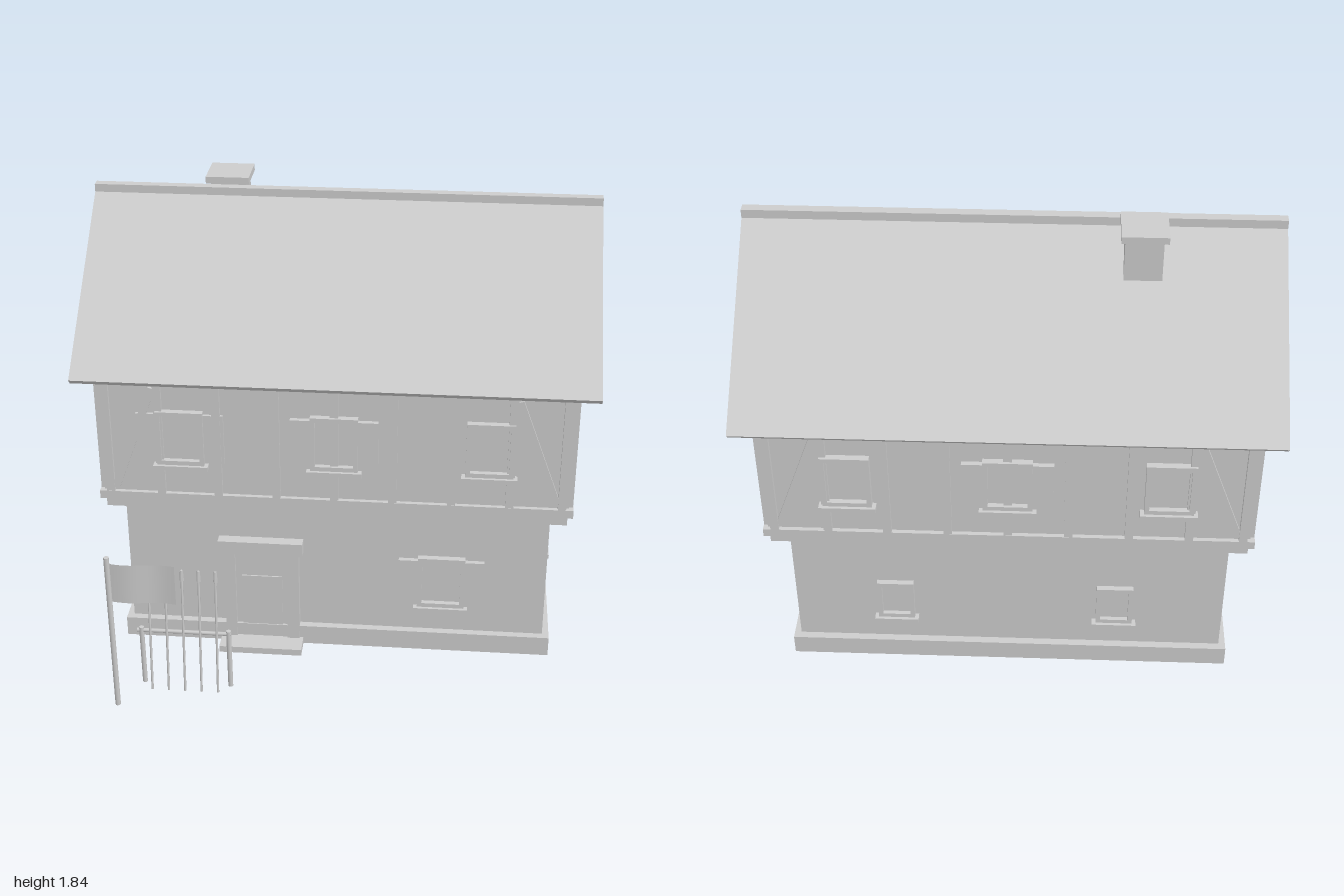
import * as THREE from 'three';

const CZ = -0.17; // depth centre of the house

export function createModel() {
  const model = new THREE.Group();
  model.name = 'timberHouse';
  const grey = new THREE.MeshStandardMaterial({ color: 0xcccccc });
  grey.name = 'plainGrey';
  grey.side = THREE.DoubleSide;

  const add = (parent, name, geometry) => {
    const mesh = new THREE.Mesh(geometry, grey);
    mesh.name = name;
    parent.add(mesh);
    return mesh;
  };
  // box from minimum and maximum on each axis
  const box = (parent, name, x0, x1, y0, y1, z0, z1) => {
    const m = add(parent, name, new THREE.BoxGeometry(x1 - x0, y1 - y0, z1 - z0));
    m.position.set((x0 + x1) / 2, (y0 + y1) / 2, (z0 + z1) / 2);
    return m;
  };
  // storey block centred on the house
  const slab = (name, hx, y0, y1, hz) => box(model, name, -hx, hx, y0, y1, CZ - hz, CZ + hz);
  // round bar between two points
  const bar = (parent, name, a, b, r0, r1 = r0, sides = 8) => {
    const p = new THREE.Vector3(...a), q = new THREE.Vector3(...b), d = q.clone().sub(p);
    const m = add(parent, name, new THREE.CylinderGeometry(r1, r0, d.length(), sides));
    m.position.copy(p).add(q).multiplyScalar(0.5);
    m.quaternion.setFromUnitVectors(new THREE.Vector3(0, 1, 0), d.normalize());
    return m;
  };
  // outline in (z, y) extruded along x
  const extrudeX = (name, points, length) => {
    const shape = new THREE.Shape(points.map(([z, y]) => new THREE.Vector2(z, y)));
    const g = new THREE.ExtrudeGeometry(shape, { depth: length, bevelEnabled: false });
    g.translate(0, 0, -length / 2);
    g.rotateY(-Math.PI / 2);
    return add(model, name, g);
  };
  // face of the house: local x runs along the wall, local z = 0 is its surface
  const facade = (name, x, z, angle) => {
    const g = new THREE.Group();
    g.name = name;
    g.position.set(x, 0, z);
    g.rotation.y = angle;
    model.add(g);
    return g;
  };

  // window with frame, pane, sill and optional shutters
  const windowUnit = (wall, x, y0, y1, w, out, shutters, shutterOut = out * 0.75) => {
    const g = new THREE.Group();
    g.name = 'window';
    g.position.x = x;
    wall.add(g);
    const h = w / 2, t = 0.018;
    for (const s of [-1, 1]) {
      const a = s * h, b = s * (h - t);
      box(g, 'windowJamb', Math.min(a, b), Math.max(a, b), y0, y1, -0.01, out);
      if (shutters) {
        const c = s * (h + 0.078);
        box(g, 'shutter', Math.min(a, c), Math.max(a, c), y0 + 0.005, y1 - 0.015, -0.005, shutterOut);
      }
    }
    box(g, 'windowHead', -h + t, h - t, y1 - t, y1, -0.01, out);
    box(g, 'windowFoot', -h + t, h - t, y0, y0 + t, -0.01, out);
    box(g, 'windowPane', -h + t, h - t, y0 + t, y1 - t, -0.005, 0.005);
    box(g, 'windowSill', -h - 0.015, h + 0.015, y0 - 0.018, y0, -0.01, out + 0.012);
  };

  // Masonry storey, jetty beams and timber storey
  slab('plinth', 0.877, 0, 0.085, 0.52);
  slab('groundFloorWall', 0.85, 0.085, 0.65, 0.49);
  slab('jettyBeam', 0.912, 0.65, 0.69, 0.551);
  slab('floorBeam', 0.932, 0.695, 0.73, 0.573);
  slab('floorInfill', 0.9, 0.685, 0.7, 0.54);
  slab('upperWall', 0.915, 0.73, 1.205, 0.556);
  slab('topPlate', 0.932, 1.202, 1.237, 0.573);

  // Timber framing on all four upper faces
  const framing = (wall, posts, edge, second) => {
    for (const x of posts) box(wall, 'timberPost', x - 0.016, x + 0.016, 0.73, 1.203, -0.01, 0.016);
    for (const s of [-1, 1]) {
      const x0 = s * (edge - 0.02), x1 = s * (second + 0.02), y0 = 0.745, y1 = 1.19;
      const len = Math.hypot(x1 - x0, y1 - y0);
      const brace = add(wall, 'diagonalBrace', new THREE.BoxGeometry(0.03, len, 0.022));
      brace.position.set((x0 + x1) / 2, (y0 + y1) / 2, 0.002);
      brace.rotation.z = -Math.atan2(x1 - x0, y1 - y0);
    }
  };
  const longPosts = [-0.887, -0.683, -0.457, -0.228, 0, 0.228, 0.457, 0.683, 0.887];
  const sidePosts = [-0.53, -0.33, -0.11, 0.11, 0.33, 0.53];
  for (const s of [1, -1]) {
    const long = facade(s > 0 ? 'upperFront' : 'upperBack', 0, CZ + s * 0.556, s > 0 ? 0 : Math.PI);
    framing(long, longPosts, 0.887, 0.683);
    windowUnit(long, -0.6, 0.865, 1.095, 0.185, 0.026, s > 0, 0.012);
    windowUnit(long, 0, 0.865, 1.095, 0.185, 0.026, true);
    windowUnit(long, 0.6, 0.865, 1.095, 0.185, 0.026, false);
    const side = facade(s > 0 ? 'upperLeftSide' : 'upperRightSide', s * 0.915, CZ, s * Math.PI / 2);
    framing(side, sidePosts, 0.53, 0.33);
    windowUnit(side, 0, 0.86, 1.09, 0.175, 0.026, true);
    // small ground floor side window
    const low = facade(s > 0 ? 'lowerLeftSide' : 'lowerRightSide', s * 0.85, CZ, s * Math.PI / 2);
    windowUnit(low, 0, 0.21, 0.395, 0.145, 0.022, false);
  }
  const lowBack = facade('lowerBack', 0, CZ - 0.49, Math.PI);
  for (const x of [-0.45, 0.42]) windowUnit(lowBack, x, 0.21, 0.395, 0.145, 0.022, false);

  // Ground floor front: shuttered window and door
  const front = facade('lowerFront', 0, CZ + 0.49, 0);
  windowUnit(front, 0.428, 0.208, 0.44, 0.19, 0.026, true);
  for (const [a, b] of [[-0.455, -0.41], [-0.2, -0.15]]) box(front, 'doorJamb', a, b, 0.02, 0.44, -0.01, 0.038);
  box(front, 'doorLintel', -0.477, -0.133, 0.432, 0.492, -0.01, 0.046);
  box(front, 'doorHead', -0.41, -0.2, 0.41, 0.432, -0.01, 0.034);
  box(front, 'doorLeaf', -0.41, -0.2, 0.025, 0.41, -0.01, 0.02);
  box(front, 'doorPanel', -0.385, -0.22, 0.085, 0.32, 0.015, 0.026);
  box(front, 'doorStep', -0.475, -0.135, 0, 0.028, 0, 0.12);

  // Gable block, roof, ridge
  extrudeX('gable', [[0.375, 1.237], [CZ, 1.69], [-0.715, 1.237]], 1.82);
  const m = -0.345; // mirrors z across the ridge
  extrudeX('roof', [[0.473, 1.248], [m / 2, 1.79], [m - 0.473, 1.248], [m - 0.455, 1.228],
    [m / 2, 1.755], [0.455, 1.228]], 2);
  box(model, 'ridgeBeam', -1, 1, 1.772, 1.807, -0.193, -0.155);

  // Chimney
  box(model, 'chimneyStack', -0.545, -0.405, 1.4, 1.81, -0.352, -0.215);
  box(model, 'chimneyCap', -0.562, -0.39, 1.808, 1.835, -0.372, -0.197);

  // Flag on a pole
  bar(model, 'flagPole', [-0.82, 0, 0.812], [-0.82, 0.685, 0.812], 0.011);
  const cloth = new THREE.PlaneGeometry(0.245, 0.17, 12, 1);
  const p = cloth.attributes.position;
  for (let i = 0; i < p.count; i++) p.setZ(i, 0.006 * Math.sin((p.getX(i) + 0.1225) * 26));
  cloth.computeVertexNormals();
  add(model, 'flag', cloth).position.set(-0.687, 0.572, 0.812);

  // Rack with leaning spears
  for (const x of [-0.742, -0.395]) bar(model, 'rackPost', [x, 0, 0.658], [x, 0.265, 0.658], 0.01);
  bar(model, 'rackRail', [-0.76, 0.25, 0.657], [-0.385, 0.25, 0.657], 0.008);
  for (let i = 0; i < 5; i++) {
    const x = -0.703 + i * 0.066;
    bar(model, 'spearShaft', [x, 0, 0.706], [x, 0.495, 0.654], 0.005, 0.005, 6);
    bar(model, 'spearHead', [x, 0.49, 0.654], [x, 0.535, 0.65], 0.009, 0.006, 4);
  }
  return model;
}
